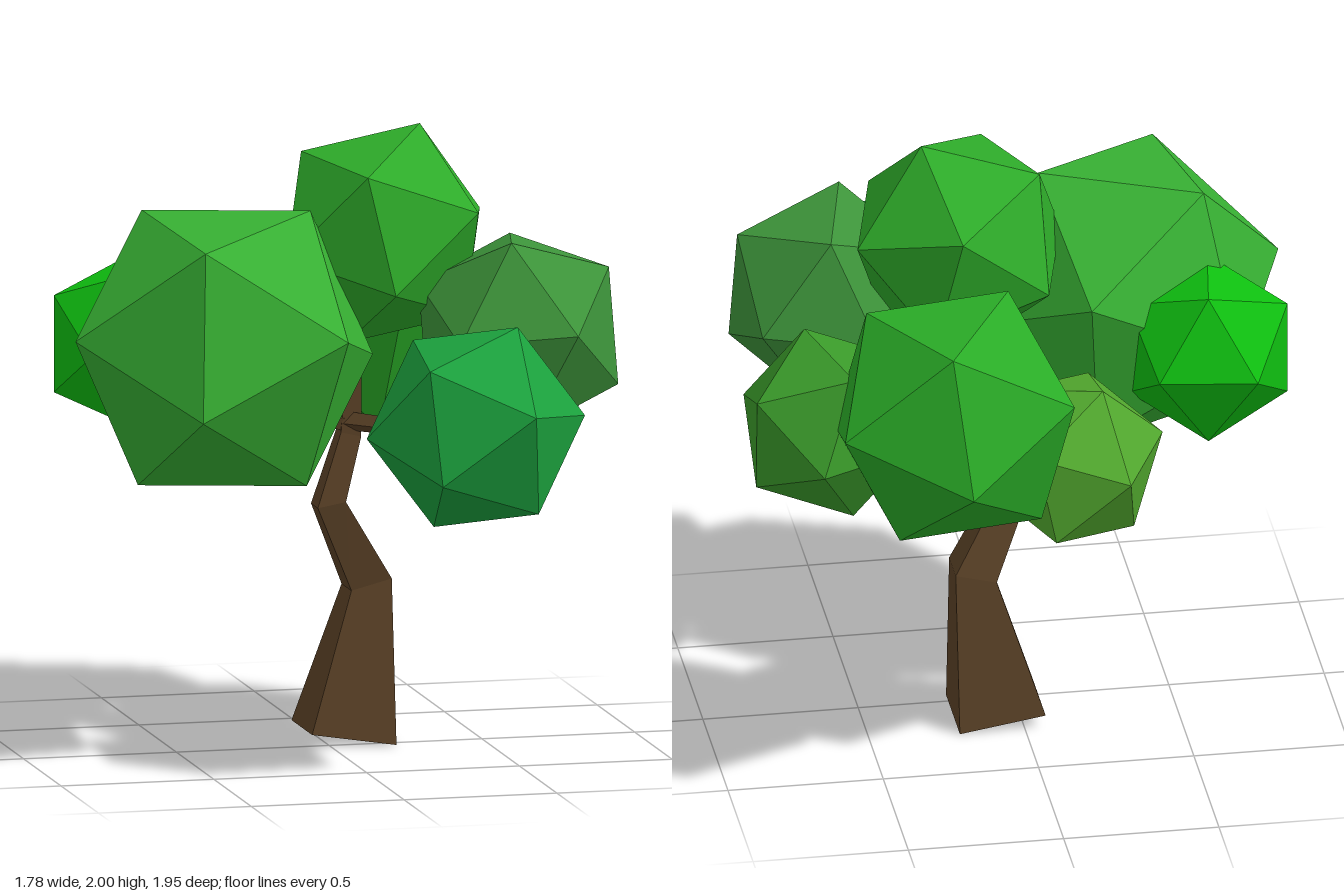
import * as THREE from 'three';

const BARK = 0x5a4126;
const material = (color) => new THREE.MeshStandardMaterial({ color, flatShading: true });
const vec = (p) => new THREE.Vector3(...p);

// Icosahedron turned so that two neighbouring corners point along a and b (offsets from its centre)
function leafClump(name, color, centre, a, b) {
  const A = vec(a), B = vec(b);
  const radius = (A.length() + B.length()) / 2;
  A.normalize();
  B.normalize();
  const x = B.clone().sub(A).normalize();
  const y = A.clone().add(B).normalize();
  const z = x.clone().cross(y);
  const mesh = new THREE.Mesh(new THREE.IcosahedronGeometry(radius, 0), material(color));
  mesh.name = name;
  mesh.quaternion.setFromRotationMatrix(new THREE.Matrix4().makeBasis(x, y, z));
  mesh.position.copy(vec(centre));
  return mesh;
}

// Square trunk bent through rings of [x, y, z, half width, tilt]
function bentTrunk(rings) {
  const n = rings.length - 1;
  const geo = new THREE.BoxGeometry(2, 1, 2, 1, n, 1);
  const pos = geo.attributes.position;
  for (let i = 0; i < pos.count; i++) {
    const [cx, cy, cz, half, tilt] = rings[Math.round((pos.getY(i) + 0.5) * n)];
    const sx = pos.getX(i), sz = pos.getZ(i);
    pos.setXYZ(i, cx + sx * half, cy + sx * tilt, cz + sz * half);
  }
  geo.computeVertexNormals();
  const mesh = new THREE.Mesh(geo, material(BARK));
  mesh.name = 'trunk';
  return mesh;
}

// Four-sided tapering branch between two points
function branch(name, from, to, r0, r1) {
  const p = vec(from), q = vec(to);
  const dir = q.clone().sub(p);
  const geo = new THREE.CylinderGeometry(r1, r0, dir.length(), 4);
  geo.rotateY(Math.PI / 4);
  const mesh = new THREE.Mesh(geo, material(BARK));
  mesh.name = name;
  mesh.position.copy(p).add(q).multiplyScalar(0.5);
  mesh.quaternion.setFromUnitVectors(new THREE.Vector3(0, 1, 0), dir.normalize());
  return mesh;
}

export function createModel() {
  const tree = new THREE.Group();
  tree.name = 'tree';

  // Trunk and branches
  tree.add(bentTrunk([
    [0.072, 0.023, -0.095, 0.138, -0.022],
    [0.145, 0.51, -0.09, 0.066, 0.017],
    [0.005, 0.78, -0.028, 0.046, 0.008],
    [0.075, 1.0, -0.045, 0.033, -0.008],
    [0.09, 1.32, -0.03, 0.02, 0],
  ]));
  tree.add(branch('longBranch', [0.06, 1.04, -0.05], [0.4, 1.05, 0.4], 0.032, 0.022));
  tree.add(branch('shortBranch', [0.08, 1.03, -0.045], [-0.07, 1.07, 0], 0.03, 0.025));

  // Foliage: name, colour, centre, two neighbouring corner offsets
  const clumps = [
    ['rightLargeClump', 0x37b033, [-0.39, 1.335, 0.19], [-0.51, 0.055, 0.08], [-0.14, 0.365, 0.33]],
    ['topClump', 0x2eac2a, [0.175, 1.65, 0.007], [0.12, 0.35, -0.017], [-0.24, 0.26, -0.097]],
    ['backClump', 0x2aab27, [0.28, 1.307, -0.55], [0.005, -0.086, -0.425], [0.046, 0.334, -0.276]],
    ['leftClump', 0x3d943a, [0.555, 1.355, 0.26], [0.115, 0.04, 0.335], [-0.06, 0.32, 0.15]],
    ['frontClump', 0x1ca33e, [0.32, 1.13, 0.653], [0.127, 0.325, 0.047], [0.12, 0.08, 0.32]],
    ['leftBackClump', 0x3a9a2a, [0.632, 1.152, -0.234], [0.262, 0.145, -0.105], [0.245, 0.03, 0.175]],
    ['rightBackClump', 0x0fbf10, [-0.595, 1.295, -0.19], [-0.25, 0.157, -0.037], [-0.25, -0.157, -0.037]],
    ['lowBackClump', 0x52a92e, [-0.118, 1.07, -0.445], [0.083, -0.275, 0.085], [-0.187, -0.225, -0.065]],
  ];
  for (const clump of clumps) tree.add(leafClump(...clump));

  return tree;
}
